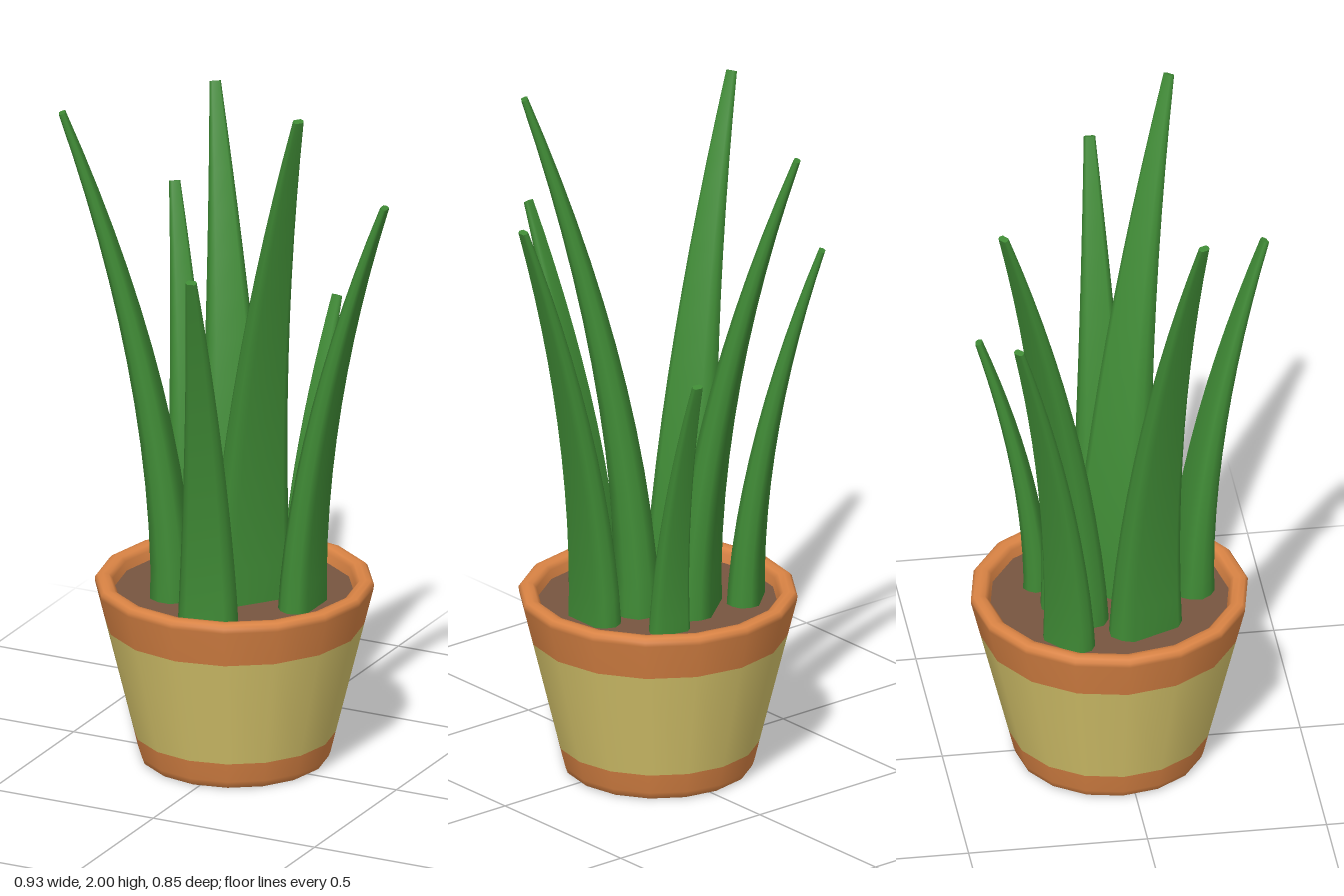
import * as THREE from 'three';

const SIDES = 16;
const SOIL_Y = 0.49;

// Half-width / half-thickness factors around one leaf section
const SECTION = [
  [1, 0], [0.87, 0.6], [0.64, 1], [-0.64, 1], [-0.87, 0.6],
  [-1, 0], [-0.87, -0.6], [-0.64, -1], [0.64, -1], [0.87, -0.6],
];

// Blade that rises upright, then arches outwards while it tapers to a blunt tip
function leafGeometry([bx, bz], [tx, ty, tz], halfWidth, halfThick) {
  const rings = 12, n = SECTION.length, baseY = SOIL_Y - 0.02;
  const reach = Math.hypot(tx - bx, tz - bz), height = ty - baseY;
  const out = new THREE.Vector3(tx - bx, 0, tz - bz).normalize();
  const up = new THREE.Vector3(0, 1, 0);
  const side = new THREE.Vector3().crossVectors(up, out);
  const positions = [], index = [];
  const ring = (t) => {
    const center = new THREE.Vector3(bx, baseY + height * t, bz).addScaledVector(out, reach * t ** 1.75);
    const slope = Math.atan((1.75 * reach * t ** 0.75) / height);
    const thickAxis = out.clone().multiplyScalar(Math.cos(slope)).addScaledVector(up, -Math.sin(slope));
    const w = THREE.MathUtils.lerp(halfWidth, 0.016, t ** 1.1);
    const d = THREE.MathUtils.lerp(halfThick, 0.009, t);
    for (const [a, b] of SECTION) {
      const p = center.clone().addScaledVector(side, a * w).addScaledVector(thickAxis, b * d);
      positions.push(p.x, p.y, p.z);
    }
  };
  for (let i = 0; i <= rings; i++) ring(i / rings);
  for (let i = 0; i < rings; i++) {
    for (let j = 0; j < n; j++) {
      const a = i * n + j, b = i * n + ((j + 1) % n);
      index.push(a, a + n, b, b, a + n, b + n);
    }
  }
  // Tip cap on its own vertices keeps its edge sharp
  const cap = positions.length / 3;
  ring(1);
  for (let j = 1; j < n - 1; j++) index.push(cap, cap + j + 1, cap + j);
  const g = new THREE.BufferGeometry();
  g.setAttribute('position', new THREE.Float32BufferAttribute(positions, 3));
  g.setIndex(index);
  g.computeVertexNormals();
  return g;
}

export function createModel() {
  const material = (name, color) => {
    const m = new THREE.MeshStandardMaterial({ color });
    m.name = name;
    return m;
  };
  const terracotta = material('terracotta', 0xd98344);
  const yellow = material('yellow glaze', 0xd8c66c);
  const brown = material('soil brown', 0x775540);
  const green = material('leaf green', 0x3f8a35);

  const model = new THREE.Group();
  model.name = 'pottedPlant';
  const add = (parent, name, geometry, mat) => {
    const mesh = new THREE.Mesh(geometry, mat);
    mesh.name = name;
    parent.add(mesh);
    return mesh;
  };
  const lathe = (pts) => new THREE.LatheGeometry(pts.map(([r, y]) => new THREE.Vector2(r, y)), SIDES);

  // Pot: stacked coloured bands
  const pot = new THREE.Group();
  pot.name = 'pot';
  pot.position.set(-0.02, 0, -0.036);
  model.add(pot);
  add(pot, 'potBottom', lathe([[0, 0], [0.252, 0]]), terracotta);
  add(pot, 'footBand', lathe([[0.252, 0], [0.261, 0.006], [0.267, 0.022], [0.281, 0.08]]), terracotta);
  add(pot, 'middleBand', lathe([[0.281, 0.08], [0.36, 0.4]]), yellow);
  add(pot, 'rim', lathe([
    [0.36, 0.4], [0.386, 0.505], [0.387, 0.518], [0.379, 0.527], [0.364, 0.53],
    [0.348, 0.527], [0.337, 0.515], [0.328, 0.46],
  ]), terracotta);

  // Soil surface
  const soil = add(pot, 'soil', new THREE.CircleGeometry(0.334, SIDES), brown);
  soil.rotation.x = -Math.PI / 2;
  soil.position.y = SOIL_Y;

  // Leaves: base [x, z], tip [x, y, z], half-width, half-thickness
  const leaves = new THREE.Group();
  leaves.name = 'leaves';
  model.add(leaves);
  [
    [[0.038, -0.016], [0.285, 1.998, 0.175], 0.125, 0.064],
    [[0.197, -0.024], [0.453, 1.705, -0.022], 0.092, 0.047],
    [[0.016, 0.195], [0.073, 1.565, 0.412], 0.086, 0.05],
    [[-0.172, 0.042], [-0.452, 1.895, 0.165], 0.113, 0.058],
    [[-0.07, -0.14], [-0.246, 1.845, -0.365], 0.113, 0.058],
    [[-0.218, -0.177], [-0.358, 1.54, -0.338], 0.083, 0.046],
    [[0.094, -0.222], [0.124, 1.27, -0.38], 0.062, 0.036],
  ].forEach((spec, i) => add(leaves, `leaf${i + 1}`, leafGeometry(...spec), green));

  return model;
}
